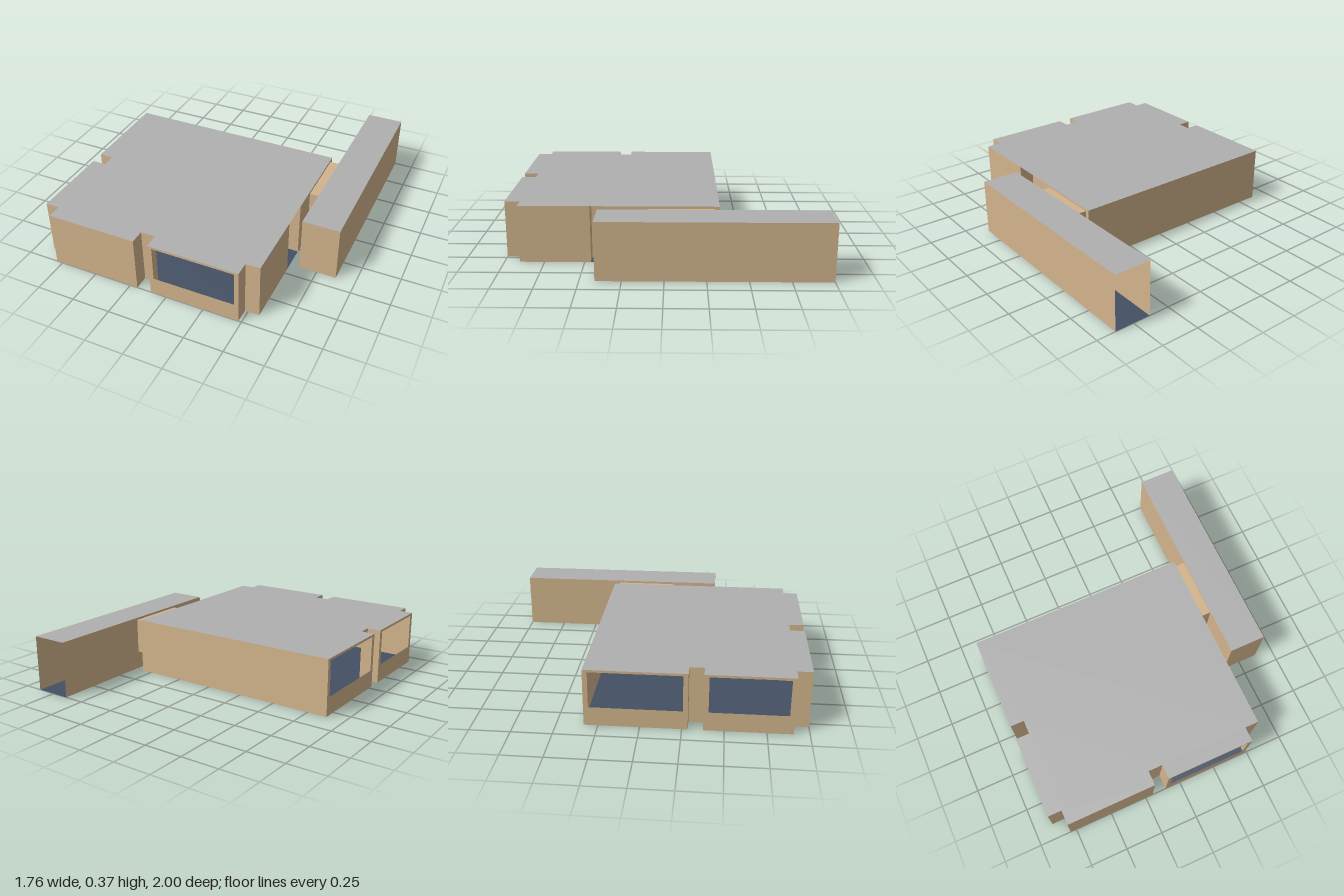
import * as THREE from 'three';

const H = 0.365;            // wall height
const SILL = 0.12, HEAD = 0.35;

const flat = (color, name) => {
  const m = new THREE.MeshStandardMaterial({ color, side: THREE.DoubleSide });
  m.name = name;
  return m;
};

export function createModel() {
  const tan = flat(0xd2b48c, 'tan wall');
  const grey = flat(0xb0b0b0, 'grey roof');
  const slate = flat(0x445164, 'slate floor');

  const add = (parent, name, geometry, material) => {
    const mesh = new THREE.Mesh(geometry, material);
    mesh.name = name;
    parent.add(mesh);
    return mesh;
  };
  const group = (parent, name) => {
    const g = new THREE.Group();
    g.name = name;
    parent.add(g);
    return g;
  };

  // Upright sheet from plan point a to b; opening = [start, end] along its length
  const wall = (parent, name, a, b, opening, y0 = 0, y1 = H) => {
    const dx = b[0] - a[0], dz = b[1] - a[1], len = Math.hypot(dx, dz);
    const s = new THREE.Shape([[0, y0], [len, y0], [len, y1], [0, y1]].map(p => new THREE.Vector2(...p)));
    if (opening) {
      const [u, v] = opening;
      s.holes.push(new THREE.Path([[u, SILL], [u, HEAD], [v, HEAD], [v, SILL]].map(p => new THREE.Vector2(...p))));
    }
    const mesh = add(parent, name, new THREE.ShapeGeometry(s), tan);
    mesh.position.set(a[0], 0, a[1]);
    mesh.rotation.y = Math.atan2(-dz, dx);
  };

  // Horizontal sheet with the given plan outline
  const slab = (parent, name, outline, y, material) => {
    const s = new THREE.Shape(outline.map(([x, z]) => new THREE.Vector2(x, -z)));
    const mesh = add(parent, name, new THREE.ShapeGeometry(s).rotateX(-Math.PI / 2), material);
    mesh.position.y = y;
  };

  const model = new THREE.Group();
  model.name = 'building';

  // Main hall: outline runs from the back left, along the notched sides
  const main = group(model, 'mainHall');
  const outline = [
    [-0.88, -0.335], [-0.88, 0.285], [-0.79, 0.285], [-0.79, 0.375], [-0.88, 0.375], [-0.88, 0.905],
    [-0.79, 0.905], [-0.79, 1], [-0.2, 1], [-0.2, 0.905], [-0.105, 0.905], [-0.105, 1],
    [0.48, 1], [0.48, 0.905], [0.572, 0.905], [0.572, -0.335],
  ];
  slab(main, 'mainRoof', outline, H, grey);
  slab(main, 'mainFloor', outline, 0, slate);

  // Walls follow the outline, with a roofed recess in the side facing the wing
  const wallLine = [...outline.slice(0, 15),
    [0.572, 0.46], [0.48, 0.46], [0.48, 0.27], [0.572, 0.27], [0.572, -0.335]];
  const openings = { 0: [0.03, 0.59], 4: [0.03, 0.5], 11: [0.027, 0.557], 18: [0.17, 0.575] };
  wallLine.forEach((p, i) => {
    const q = wallLine[(i + 1) % wallLine.length];
    wall(main, openings[i] ? 'windowWall' : 'mainWall', p, q, openings[i]);
  });

  // Side wing, open at the back
  const wing = group(model, 'sideWing');
  const x0 = 0.635, x1 = 0.876, zb = -1, zf = 0.408;
  const plan = [[x0, zb], [x0, zf], [x1, zf], [x1, zb]];
  slab(wing, 'wingRoof', plan, H, grey);
  slab(wing, 'wingFloor', plan, 0, slate);
  wall(wing, 'wingInnerWall', plan[0], plan[1], [0.695, 1.1]);
  wall(wing, 'wingFrontWall', plan[1], plan[2]);
  wall(wing, 'wingOuterWall', plan[2], plan[3]);

  // Raised link between hall and wing
  const link = group(model, 'link');
  const c0 = 0.572, za = -0.305, zc = 0.1;
  const linkPlan = [[c0, za], [c0, zc], [x0, zc], [x0, za]];
  slab(link, 'linkRoof', linkPlan, HEAD, tan);
  slab(link, 'linkBase', linkPlan, SILL, tan);
  wall(link, 'linkFrontWall', linkPlan[1], linkPlan[2], null, SILL, HEAD);
  wall(link, 'linkBackWall', linkPlan[0], linkPlan[3], null, SILL, HEAD);

  return model;
}
